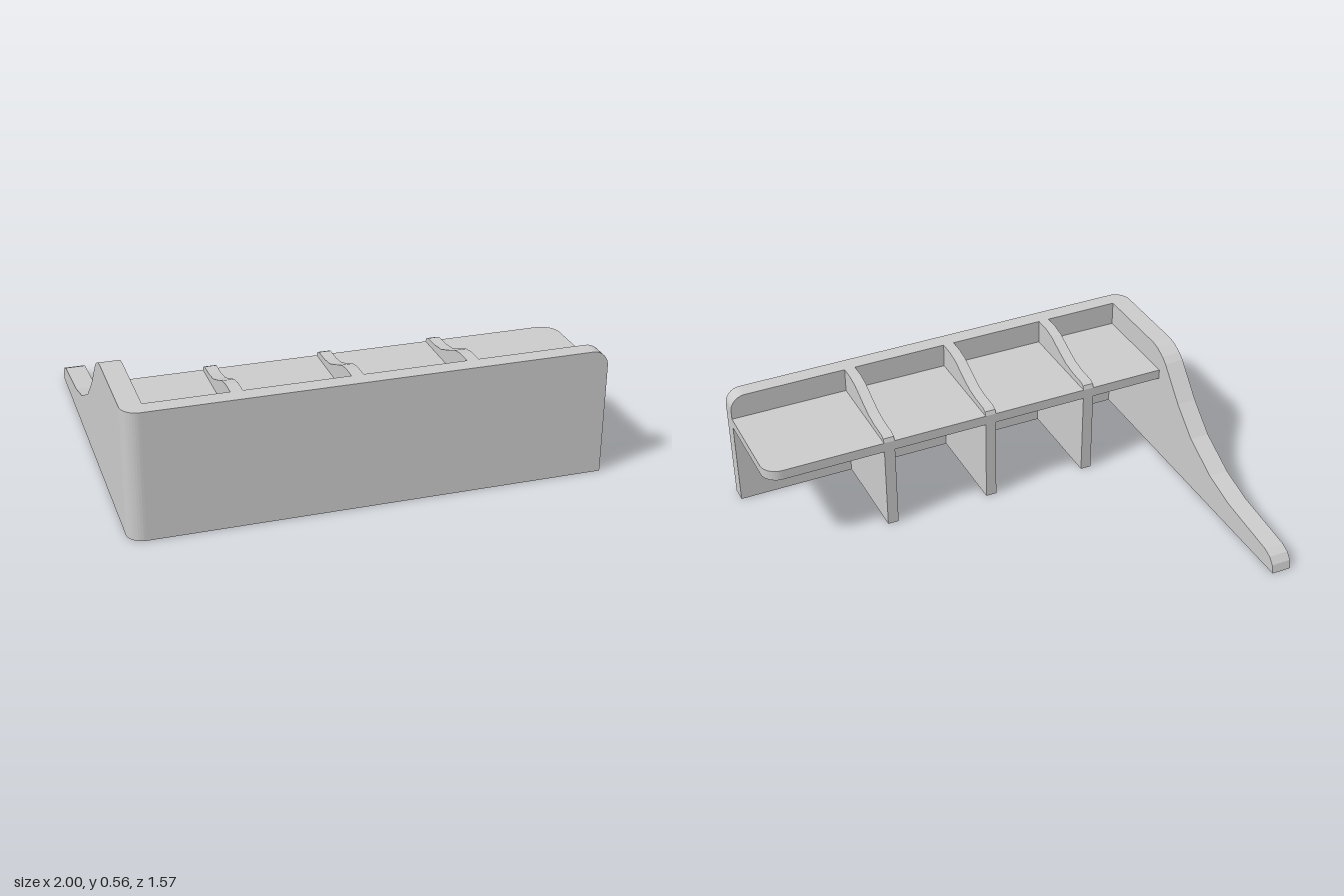
import * as THREE from 'three';

const material = new THREE.MeshStandardMaterial({ color: 0xcccccc, flatShading: true });
const FRONT = 0.785, INNER = 0.71, BACK = 0.25, TOP = 0.555;
const LEFT_OF_SIDE = -0.91;

const extrude = (shape, depth) =>
  new THREE.ExtrudeGeometry(shape, { depth, bevelEnabled: false, curveSegments: 5 });

// Outline given as [z, y] points, extruded along x from x0 to x1
function sideProfile(points, x0, x1) {
  const shape = new THREE.Shape(points.map(([z, y]) => new THREE.Vector2(-z, y)));
  return extrude(shape, x1 - x0).rotateY(Math.PI / 2).translate(x0, 0, 0);
}

// Plan shape drawn in (x, -z), extruded up from y0 to y1
const planProfile = (shape, y0, y1) =>
  extrude(shape, y1 - y0).rotateX(-Math.PI / 2).translate(0, y0, 0);

export function createModel() {
  const group = new THREE.Group();
  const add = (name, geometry) => {
    const mesh = new THREE.Mesh(geometry, material);
    mesh.name = name;
    group.add(mesh);
  };

  // Front wall with one rounded upper corner
  const r = 0.07;
  const wall = new THREE.Shape();
  wall.moveTo(LEFT_OF_SIDE, 0);
  wall.lineTo(1, 0);
  wall.lineTo(1, TOP - r);
  wall.absarc(1 - r, TOP - r, r, 0, Math.PI / 2, false);
  wall.lineTo(LEFT_OF_SIDE, TOP);
  add('frontWall', extrude(wall, FRONT - INNER).translate(0, 0, INNER));

  // Rounded vertical corner joining the front and side walls
  const corner = new THREE.Shape();
  corner.moveTo(LEFT_OF_SIDE, -INNER);
  corner.lineTo(-1, -INNER);
  corner.absarc(-1 + r, -FRONT + r, r, Math.PI, Math.PI * 1.5, false);
  corner.lineTo(LEFT_OF_SIDE, -FRONT);
  add('cornerPost', planProfile(corner, 0, TOP));

  // Side wall sweeping down to a low tail
  add('sideWall', sideProfile([
    [INNER, 0], [INNER, TOP], [0.32, TOP], [0.28, 0.548], [0.23, 0.525], [0.2, 0.502],
    [0.07, 0.36], [-0.06, 0.25], [-0.24, 0.16], [-0.4, 0.117], [-0.71, 0.083],
    [-0.75, 0.067], [-0.775, 0.038], [-FRONT, 0],
  ], -1, LEFT_OF_SIDE));

  // Horizontal shelf with one rounded back corner
  const c = 0.075;
  const shelf = new THREE.Shape();
  shelf.moveTo(LEFT_OF_SIDE, -INNER);
  shelf.lineTo(1, -INNER);
  shelf.lineTo(1, -BACK - c);
  shelf.absarc(1 - c, -BACK - c, c, 0, Math.PI / 2, false);
  shelf.lineTo(LEFT_OF_SIDE, -BACK);
  add('shelf', planProfile(shelf, 0.397, 0.443));

  // Ribs passing through the shelf, with a curved brace on top
  for (const x of [-0.54, -0.05, 0.436]) {
    add('rib', sideProfile([
      [INNER, 0], [INNER, TOP], [0.64, TOP], [0.58, 0.544], [0.5, 0.51], [0.43, 0.483],
      [0.36, 0.472], [0.28, 0.47], [0.258, 0.461], [BACK, 0.443], [BACK, 0],
    ], x - 0.025, x + 0.025));
  }
  return group;
}
